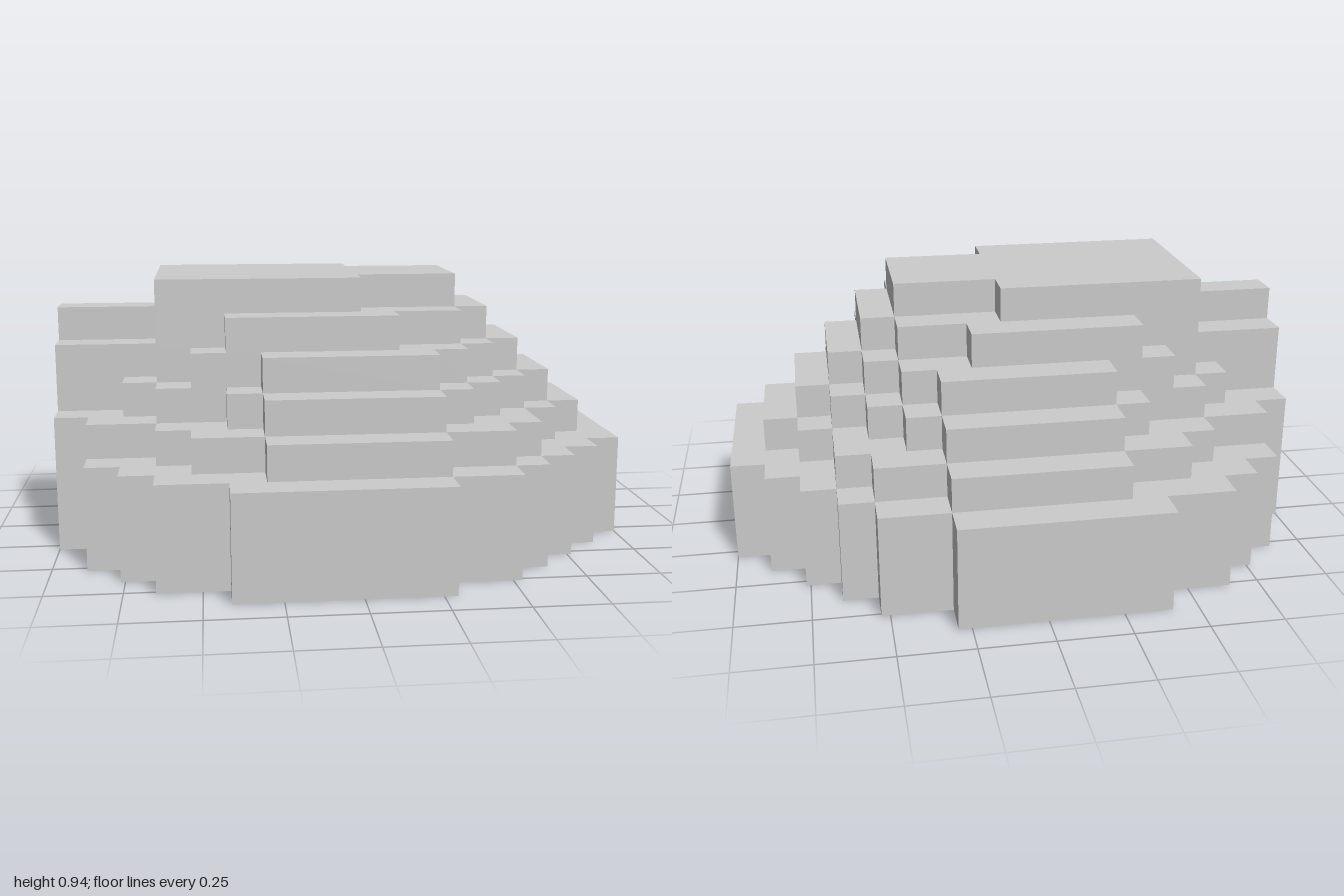
import * as THREE from 'three';

const U = 2 / 17; // one block

// Each layer: bottom and top in blocks, then rows [half depth, x start, x end],
// outermost row first, x counted from the model's right end.
const LAYERS = [
  { name: 'baseLayer', y0: 0, y1: 3, rows: [[7.5, 5, 11], [6.5, 3, 13], [5.5, 2, 14], [4.5, 1, 15], [3.5, 1, 16], [2.5, 0, 17]] },
  { name: 'secondLayer', y0: 3, y1: 4, rows: [[6.5, 6, 11], [5.5, 4, 13], [4.5, 3, 14], [3.5, 1, 14], [2.5, 0, 15], [1.5, 0, 16]] },
  { name: 'thirdLayer', y0: 4, y1: 5, rows: [[5.5, 6, 11], [4.5, 5, 12], [3.5, 3, 13], [2.5, 2, 14], [1.5, 2, 15]] },
  { name: 'fourthLayer', y0: 5, y1: 6, rows: [[4.5, 6, 11], [3.5, 4, 12], [2.5, 3, 13], [1.5, 3, 14]] },
  { name: 'fifthLayer', y0: 6, y1: 7, rows: [[3.5, 5, 10], [2.5, 3, 12], [1.5, 3, 13]] },
  { name: 'topLayer', y0: 7, y1: 8, rows: [[2.5, 3, 9], [1.5, 3, 12]] },
];

// Stepped outline of a layer, mirrored front to back
function outline(rows) {
  const right = [], left = [];
  rows.forEach(([z, x0, x1], i) => {
    right.push([x1, z]);
    left.push([x0, z]);
    const next = rows[i + 1];
    if (next) {
      right.push([x1, next[0]]);
      left.push([x0, next[0]]);
    }
  });
  const half = [...right.reverse(), ...left];
  const mirrored = half.map(([x, z]) => [x, -z]).reverse();
  const points = [...half, ...mirrored].filter(
    (p, i, all) => i === 0 || p[0] !== all[i - 1][0] || p[1] !== all[i - 1][1]);
  return new THREE.Shape(points.map(([x, z]) => new THREE.Vector2(x * U - 1, z * U)));
}

export function createModel() {
  const model = new THREE.Group();
  model.name = 'blockMound';
  const material = new THREE.MeshStandardMaterial({ color: 0xcccccc, flatShading: true });

  // Stepped layers of the mound
  for (const { name, y0, y1, rows } of LAYERS) {
    const geometry = new THREE.ExtrudeGeometry(outline(rows), { depth: (y1 - y0) * U, bevelEnabled: false });
    geometry.rotateX(-Math.PI / 2);
    const mesh = new THREE.Mesh(geometry, material);
    mesh.name = name;
    mesh.position.y = y0 * U;
    model.add(mesh);
  }

  // Stepped ridge running out to the model's right end
  const ridge = new THREE.Group();
  ridge.name = 'sideRidge';
  for (const [name, y0, y1, depth] of [['ridgeBase', 4, 6, 3], ['ridgeCrest', 6, 7, 1]]) {
    const mesh = new THREE.Mesh(new THREE.BoxGeometry(3 * U, (y1 - y0) * U, depth * U), material);
    mesh.name = name;
    mesh.position.set(1.5 * U - 1, (y0 + y1) / 2 * U, 0);
    ridge.add(mesh);
  }
  model.add(ridge);

  return model;
}
